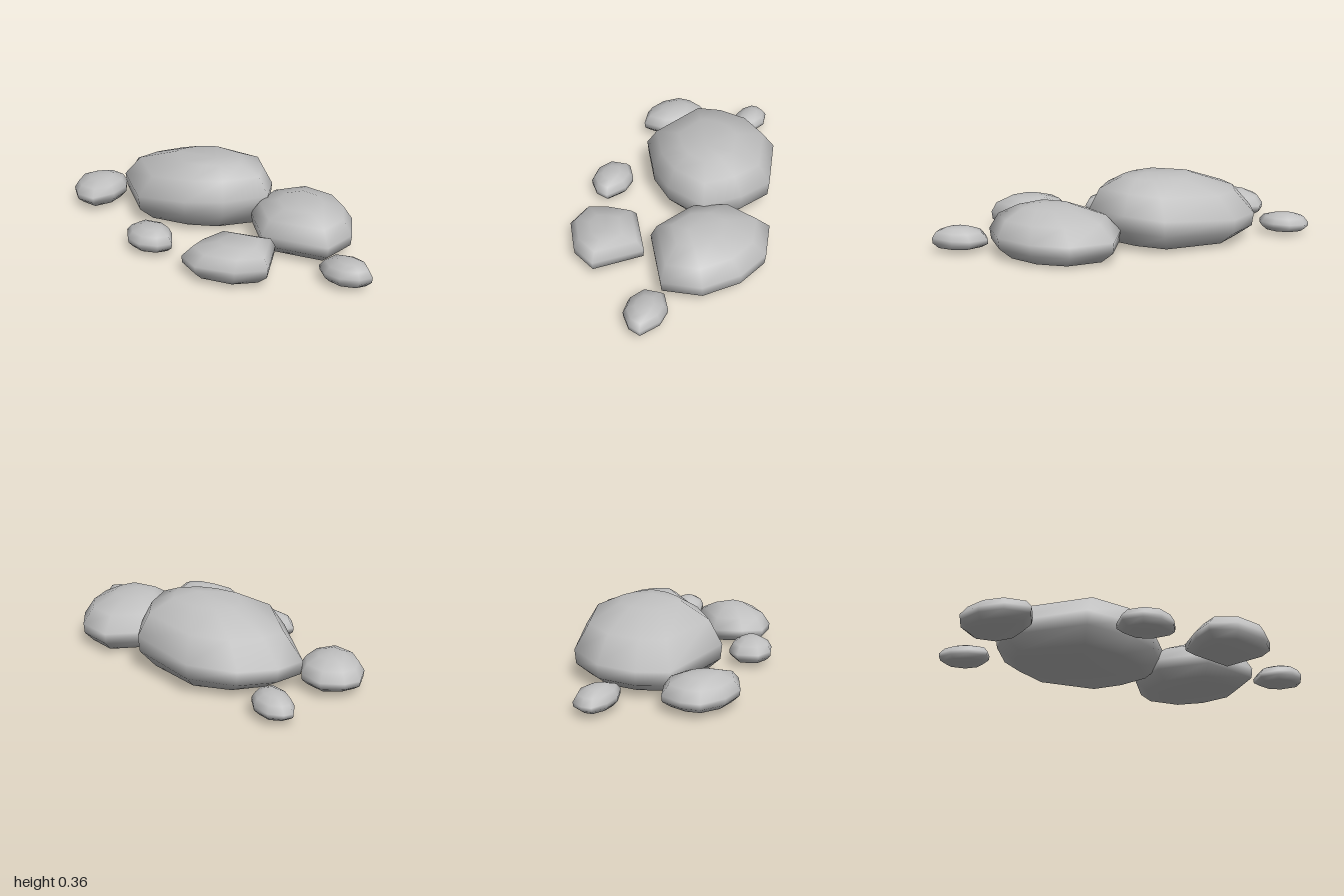
import * as THREE from 'three';

// Rings from underside to crown: [outline scale, height fraction]
const PROFILE = [[0.78, 0.04], [0.98, 0.25], [1, 0.47], [0.82, 0.78], [0.43, 0.965]];

// Plan shapes: crest point and widest outline as [x, z]
const BROAD = { crest: [-0.1, -0.1], outline: [
  [-0.09, -0.46], [0.08, -0.34], [0.215, -0.17], [0.1, 0.05], [-0.06, 0.18],
  [-0.32, 0.288], [-0.71, 0.09], [-0.725, -0.07], [-0.66, -0.26], [-0.48, -0.42]] };
const BLUNT = { crest: [0.46, -0.15], outline: [
  [0.18, -0.51], [0.4, -0.53], [0.57, -0.44], [0.7, -0.28],
  [0.715, -0.08], [0.4, 0.06], [0.16, -0.1], [0.09, -0.31]] };
const WEDGE = { crest: [0.5, 0.26], outline: [
  [0.5, 0.065], [0.66, 0.28], [0.57, 0.41], [0.39, 0.495], [0.25, 0.46], [0.22, 0.35], [0.22, 0.19]] };

// Unit shapes shared by the smaller stones
const ROUND = { crest: [0.15, 0], outline: [
  [-0.3, -1], [0.35, -0.87], [1, -0.15], [0.8, 0.5], [0.25, 1], [-0.4, 1], [-1, 0.45], [-1, -0.55]] };
const LEANING = { crest: [0.1, 0], outline: [
  [-0.57, -0.95], [0.15, -1], [0.72, -0.55], [1, 0.17], [0.86, 0.9], [0.1, 1], [-0.55, 0.68], [-1, 0.1], [-0.94, -0.4]] };

// The waist rises by tilt from the left edge to the right edge
function stoneGeometry({ crest, outline }, low, high, tilt) {
  const n = outline.length;
  const xs = outline.map((p) => p[0]);
  const left = Math.min(...xs), width = Math.max(...xs) - left;
  const mid = [0, 1].map((k) => outline.reduce((sum, p) => sum + p[k], 0) / n);
  const positions = [], index = [];

  // Rings shrink toward the outline's middle below and toward the crest above
  PROFILE.forEach(([scale, h], ring) => {
    const c = ring < 2 ? mid : crest;
    for (const [px, pz] of outline) {
      const lean = tilt * ((px - left) / width - 0.5) * Math.sin(Math.PI * h);
      positions.push(c[0] + (px - c[0]) * scale, low + (high - low) * h + lean, c[1] + (pz - c[1]) * scale);
    }
  });
  const bottom = positions.length / 3, top = bottom + 1, last = (PROFILE.length - 1) * n;
  positions.push(mid[0], low, mid[1], crest[0], high, crest[1]);

  for (let i = 0; i < n; i++) {
    const j = (i + 1) % n;
    index.push(bottom, i, j, last + i, top, last + j);
    for (let r = 0; r < last; r += n) {
      index.push(r + i, r + n + i, r + j, r + j, r + n + i, r + n + j);
    }
  }
  const geometry = new THREE.BufferGeometry();
  geometry.setAttribute('position', new THREE.Float32BufferAttribute(positions, 3));
  geometry.setIndex(index);
  return geometry;
}

export function createModel() {
  const group = new THREE.Group();
  group.name = 'stoneCluster';
  const stoneGrey = new THREE.MeshStandardMaterial({ color: 0xc0c0c0 });
  stoneGrey.name = 'stone grey';

  function addStone(name, shape, low, high, tilt, [x, z] = [0, 0], [halfX, halfZ] = [1, 1]) {
    const geometry = stoneGeometry(shape, low, high, tilt).scale(halfX, 1, halfZ).translate(x, 0, z);
    geometry.computeVertexNormals();
    const mesh = new THREE.Mesh(geometry, stoneGrey);
    mesh.name = name;
    group.add(mesh);
  }

  // Main stones
  addStone('largeStone', BROAD, 0.005, 0.36, 0.07);
  addStone('mediumStone', BLUNT, 0, 0.25, 0);
  addStone('frontRightStone', WEDGE, 0.015, 0.19, 0.02);
  // Small stones around them
  addStone('frontLeftStone', LEANING, 0.02, 0.16, 0.02, [-0.757, 0.237], [0.173, 0.173]);
  addStone('leftPebble', LEANING, 0.02, 0.115, 0.01, [-0.87, -0.212], [0.13, 0.093]);
  addStone('frontPebble', ROUND, 0.02, 0.135, 0, [-0.045, 0.413], [0.145, 0.108]);
  addStone('rightPebble', ROUND, 0.02, 0.128, 0.02, [0.863, -0.048], [0.137, 0.098]);
  return group;
}
